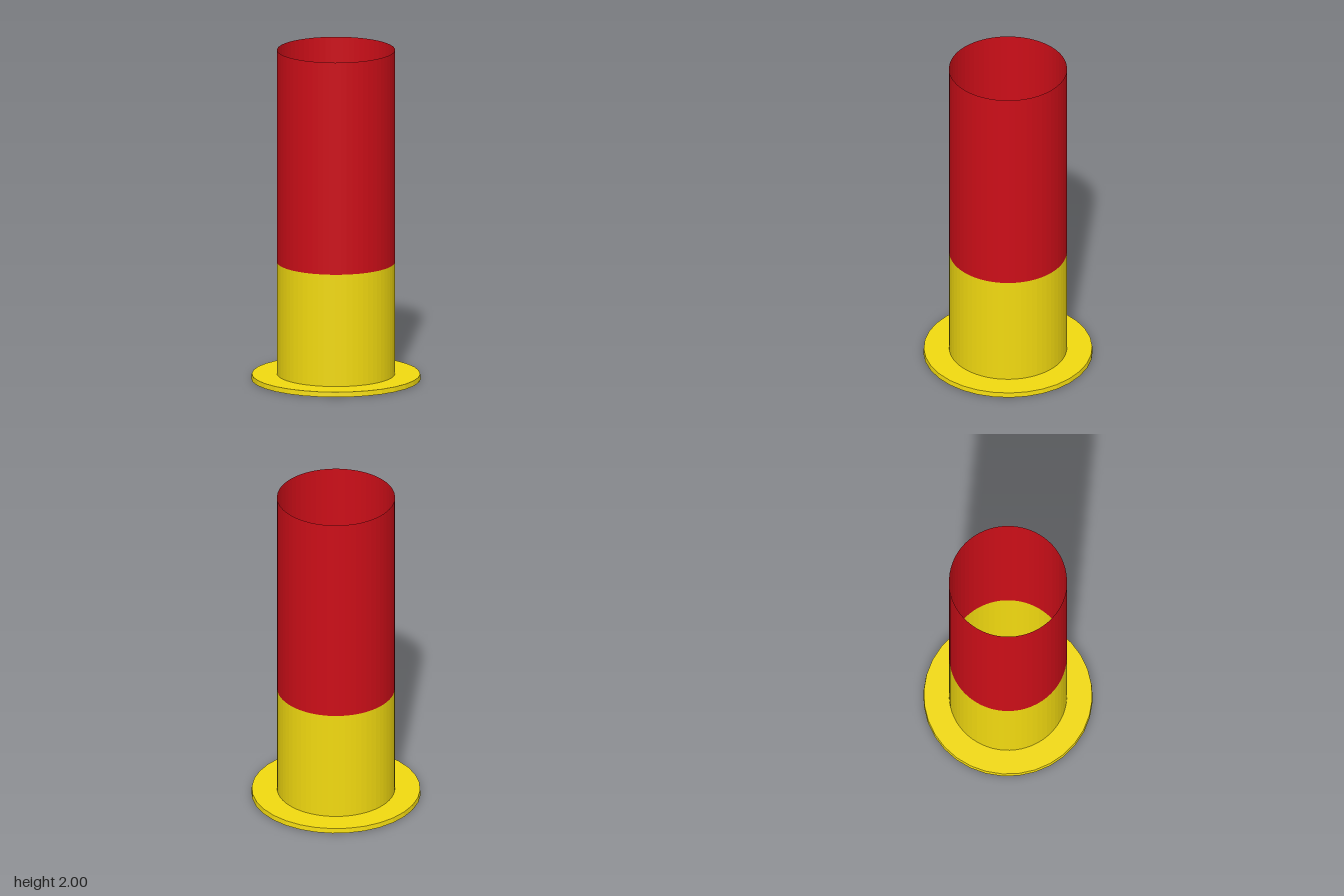
import * as THREE from 'three';

export function createModel() {
  const group = new THREE.Group();
  const add = (name, geometry, color, y) => {
    const material = new THREE.MeshStandardMaterial({ color, flatShading: true, side: THREE.DoubleSide });
    const mesh = new THREE.Mesh(geometry, material);
    mesh.name = name;
    mesh.position.y = y;
    group.add(mesh);
  };
  // Open thin-walled tube section between two heights
  const tube = (name, y0, y1, color) =>
    add(name, new THREE.CylinderGeometry(0.35, 0.35, y1 - y0, 64, 1, true), color, (y0 + y1) / 2);

  const yellow = 0xf2da10, red = 0xcc0e18;
  // Flat rim disc, which also closes the bottom of the tube
  add('baseRim', new THREE.CylinderGeometry(0.5, 0.503, 0.03, 32), yellow, 0.015);
  tube('lowerSleeve', 0.03, 0.71, yellow);
  tube('upperTube', 0.71, 2, red);
  return group;
}
